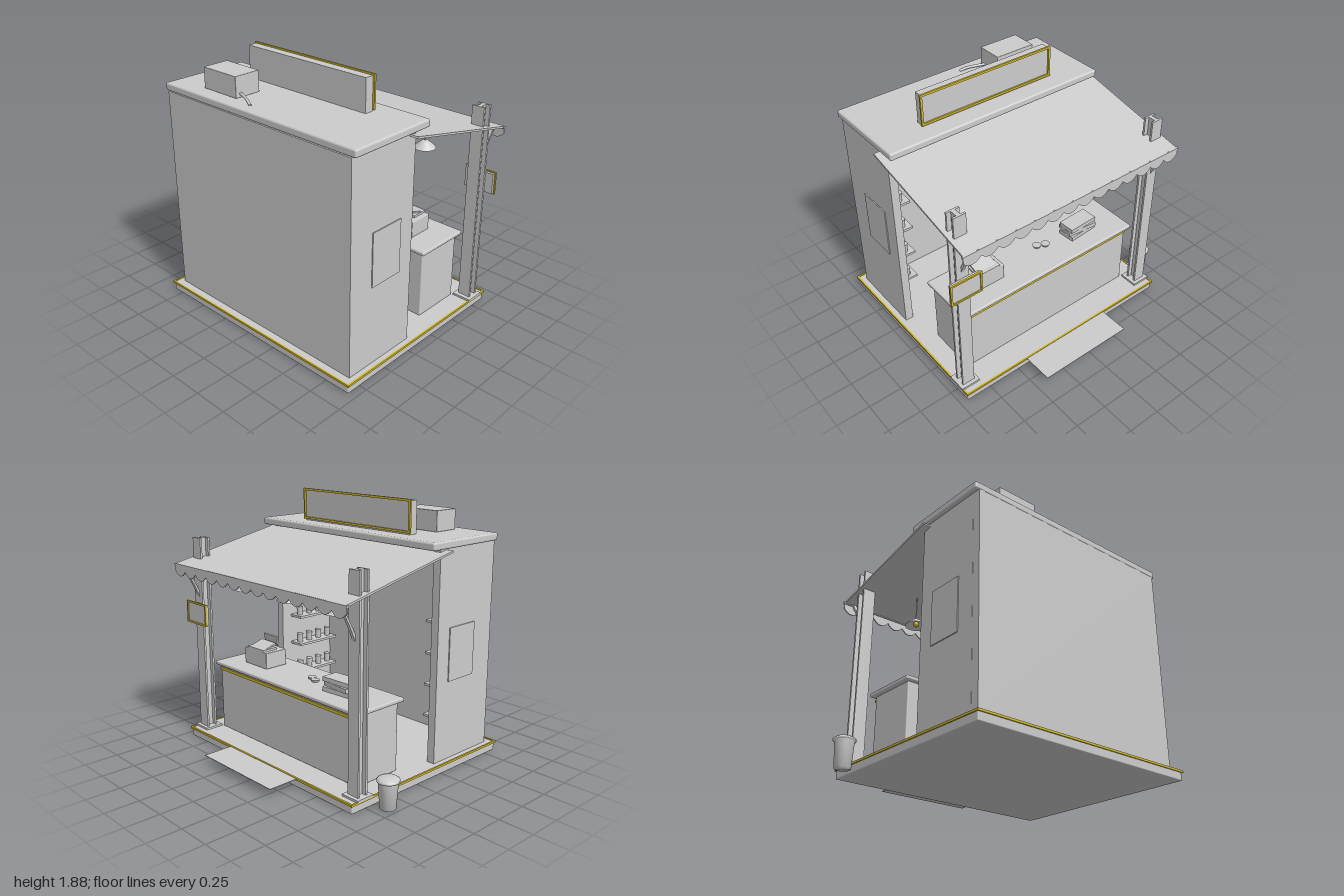
import * as THREE from 'three';
import { RoundedBoxGeometry } from 'three/addons/geometries/RoundedBoxGeometry.js';

const CX = 0.057; // the booth is symmetric about this x

export function createModel() {
  const root = new THREE.Group();
  root.name = 'marketBooth';
  const grey = new THREE.MeshStandardMaterial({ color: 0xcccccc, side: THREE.DoubleSide });
  grey.name = 'plain grey';
  const gold = new THREE.MeshStandardMaterial({ color: 0xd2ba30 });
  gold.name = 'gold trim';

  const add = (name, geo, mat = grey, parent = root) => {
    const m = new THREE.Mesh(geo, mat);
    m.name = name;
    parent.add(m);
    return m;
  };
  // box given by its limits on each axis
  const box = (name, x0, x1, y0, y1, z0, z1, mat = grey, round = 0, parent = root) => {
    const s = [x1 - x0, y1 - y0, z1 - z0];
    const g = round ? new RoundedBoxGeometry(...s, 2, round) : new THREE.BoxGeometry(...s);
    const m = add(name, g, mat, parent);
    m.position.set((x0 + x1) / 2, (y0 + y1) / 2, (z0 + z1) / 2);
    return m;
  };
  const cyl = (name, rt, rb, h, x, y, z, mat = grey, n = 24) => {
    const m = add(name, new THREE.CylinderGeometry(rt, rb, h, n), mat);
    m.position.set(x, y + h / 2, z);
    return m;
  };
  // upright rectangular frame facing -z
  const frame = (name, x0, x1, y0, y1, z0, z1, w) => {
    box(name, x0, x1, y0, y0 + w, z0, z1, gold);
    box(name, x0, x1, y1 - w, y1, z0, z1, gold);
    box(name, x0, x0 + w, y0 + w, y1 - w, z0, z1, gold);
    box(name, x1 - w, x1, y0 + w, y1 - w, z0, z1, gold);
  };

  // floor slab with its gold edge
  box('floor', -0.833, 0.943, 0, 0.066, -0.625, 0.858, grey, 0.008);
  for (const [z0, z1] of [[-0.634, -0.62], [0.853, 0.866]])
    box('floorTrim', -0.84, 0.952, 0.056, 0.071, z0, z1, gold);
  for (const [x0, x1] of [[-0.84, -0.827], [0.938, 0.952]])
    box('floorTrim', x0, x1, 0.056, 0.071, -0.62, 0.853, gold);
  box('entryMat', -0.31, 0.43, 0.062, 0.067, -0.86, -0.634);

  // back room
  box('backWall', -0.785, 0.9, 0.066, 1.58, 0.74, 0.8);
  box('roof', -0.815, 0.93, 1.58, 1.635, 0.117, 0.798, grey, 0.014);

  // parts that come in left and right pairs
  for (const s of [-1, 1]) {
    const span = (a, b) => (s > 0 ? [CX + a, CX + b] : [CX - b, CX - a]);
    box('sideWall', ...span(0.783, 0.843), 0.066, 1.58, 0.22, 0.74);
    box('sidePanel', ...span(0.843, 0.85), 0.645, 1.03, 0.34, 0.605);
    // shelves with cups
    for (let i = 0; i < 4; i++) {
      const y = 0.37 + i * 0.23;
      box('shelf', ...span(0.66, 0.783), y - 0.018, y, 0.305, 0.7);
      for (let k = 0; k < 4; k++)
        cyl('cup', 0.027, 0.022, 0.07, CX + s * 0.722, y, 0.35 + k * 0.1, grey, 12);
    }
    // beam post
    box('postFlange', ...span(0.778, 0.872), 0.066, 1.548, -0.553, -0.538);
    box('postFlange', ...span(0.778, 0.872), 0.066, 1.548, -0.485, -0.47);
    box('postWeb', ...span(0.81, 0.84), 0.066, 1.548, -0.538, -0.485);
    box('postFoot', ...span(0.752, 0.898), 0.066, 0.081, -0.58, -0.438);
    // curved brace from post to canopy edge
    const b = new THREE.Shape();
    b.moveTo(0.55, 1.1);
    b.quadraticCurveTo(0.60, 1.23, 0.685, 1.355);
    b.lineTo(0.665, 1.355);
    b.quadraticCurveTo(0.595, 1.24, 0.55, 1.15);
    const brace = add('brace', new THREE.ExtrudeGeometry(b, { depth: 0.024, bevelEnabled: false, curveSegments: 8 }));
    brace.rotation.y = Math.PI / 2; // profile runs towards -z
    brace.position.x = CX + s * 0.825 - 0.012;
  }

  // sloping canopy
  const slope = Math.atan2(0.205, 0.965);
  const canopy = add('canopy', new THREE.BoxGeometry(1.8, 0.014, 0.987));
  canopy.position.set(0.06, 1.462, -0.203);
  canopy.rotation.x = -slope;
  box('canopyEdge', -0.85, 0.967, 1.348, 1.366, -0.694, -0.676);

  // scalloped valance
  const N = 14, x0 = -0.845, w = 1.81 / N;
  const v = new THREE.Shape();
  v.moveTo(x0, 1.36);
  v.lineTo(x0, 1.315);
  for (let i = 0; i < N; i++)
    v.quadraticCurveTo(x0 + (i + 0.5) * w, 1.24, x0 + (i + 1) * w, 1.315);
  v.lineTo(x0 + N * w, 1.36);
  add('valance', new THREE.ExtrudeGeometry(v, { depth: 0.008, bevelEnabled: false, curveSegments: 8 })).position.z = -0.692;

  // pendant lamps
  for (let i = -1; i <= 1; i++) {
    const x = 0.06 + i * 0.475, z = -0.372;
    cyl('lampCord', 0.005, 0.005, 0.19, x, 1.23, z, grey, 8);
    const shade = [[0.08, 1.186], [0.078, 1.192], [0.035, 1.228], [0.018, 1.24], [0, 1.24]];
    add('lampShade', new THREE.LatheGeometry(shade.map((p) => new THREE.Vector2(...p)), 24)).position.set(x, 0, z);
    add('bulb', new THREE.SphereGeometry(0.022, 16, 12), gold).position.set(x, 1.2, z);
  }

  // serving counter
  box('counterBody', -0.68, 0.8, 0.066, 0.572, -0.43, -0.048, grey, 0.008);
  box('counterTop', -0.712, 0.83, 0.57, 0.6, -0.462, -0.018, grey, 0.01);
  box('counterTrim', -0.68, 0.8, 0.53, 0.552, -0.438, -0.429, gold);

  // cash register
  box('registerBody', 0.385, 0.64, 0.6, 0.722, -0.32, -0.13, grey, 0.006);
  box('registerTop', 0.42, 0.605, 0.715, 0.738, -0.32, -0.195);
  const keys = box('keyPad', 0.43, 0.595, 0.738, 0.75, -0.315, -0.185);
  keys.rotation.x = -0.3;
  const screen = box('registerScreen', 0.44, 0.585, 0.735, 0.815, -0.172, -0.158);
  screen.rotation.x = -0.22;

  // goods on the counter
  for (let i = 0; i < 3; i++) {
    const g = box('stackedBox', -0.475, -0.235, 0.6 + i * 0.035, 0.632 + i * 0.035, -0.32, -0.19);
    g.rotation.y = [0.08, -0.1, 0.05][i];
  }
  cyl('saucer', 0.032, 0.026, 0.016, 0, 0.6, -0.21);
  cyl('saucer', 0.032, 0.026, 0.016, -0.06, 0.6, -0.235);

  // roof sign with gold frame
  box('roofSign', -0.475, 0.588, 1.635, 1.866, 0.262, 0.328);
  frame('roofSignFrame', -0.485, 0.602, 1.645, 1.877, 0.25, 0.264, 0.016);

  // small sign on the post
  box('postSign', 0.765, 0.99, 0.908, 1.058, -0.578, -0.553);
  frame('postSignFrame', 0.757, 0.998, 0.9, 1.066, -0.586, -0.572, 0.013);

  // rooftop cooling unit and its pipe
  box('coolingUnit', -0.52, -0.2, 1.635, 1.784, 0.49, 0.692, grey, 0.004);
  const path = new THREE.CatmullRomCurve3([
    new THREE.Vector3(-0.21, 1.662, 0.648), new THREE.Vector3(-0.14, 1.66, 0.675),
    new THREE.Vector3(-0.08, 1.654, 0.7), new THREE.Vector3(-0.03, 1.638, 0.722)]);
  add('coolingPipe', new THREE.TubeGeometry(path, 16, 0.01, 8));

  // litter bin
  const bin = [[0, 0], [0.055, 0], [0.067, 0.185], [0.076, 0.187], [0.077, 0.2], [0.06, 0.212], [0.03, 0.219], [0, 0.221]];
  add('litterBin', new THREE.LatheGeometry(bin.map((p) => new THREE.Vector2(...p)), 28)).position.set(-0.922, 0, -0.39);

  return root;
}
